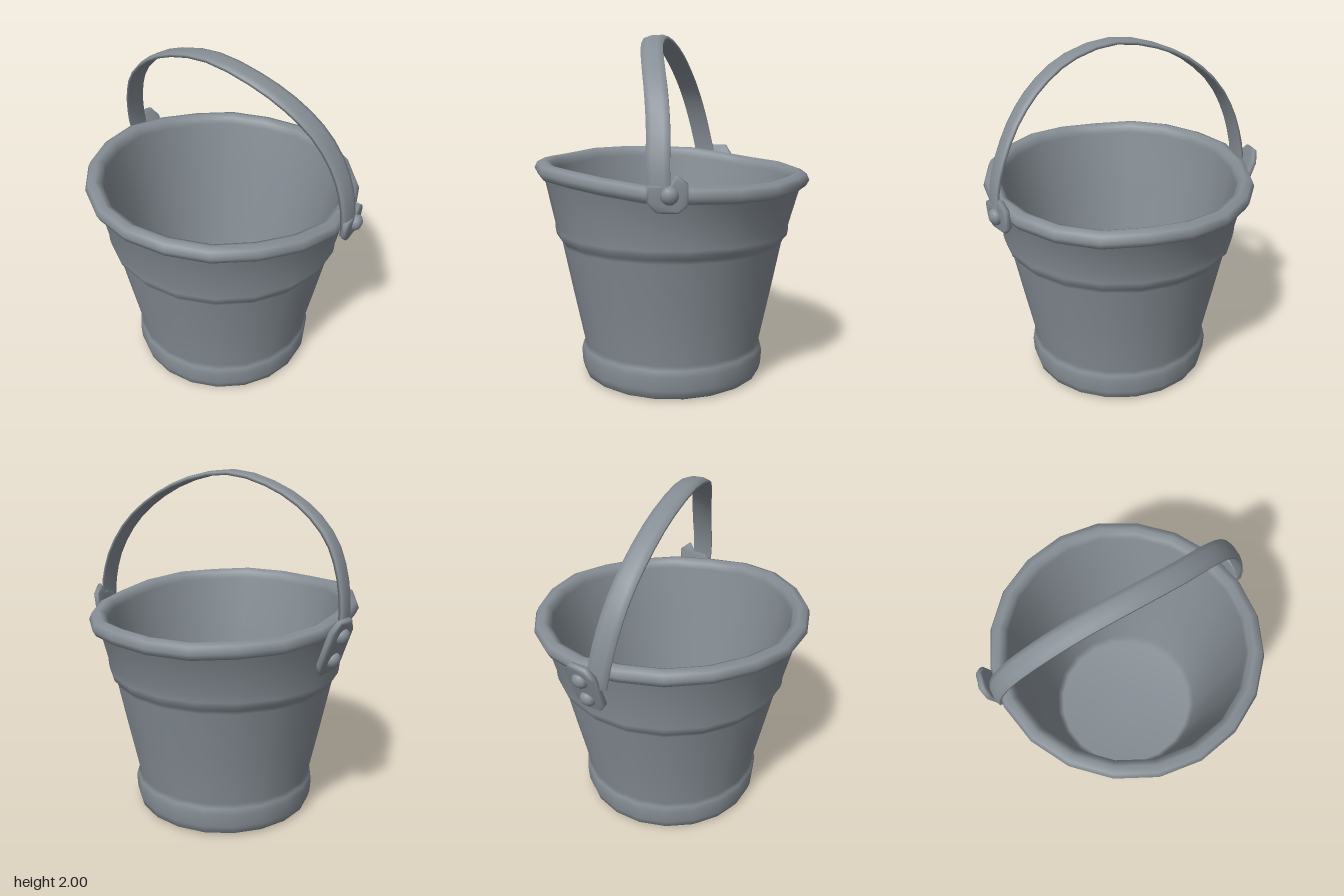
import * as THREE from 'three';
import { mergeVertices } from 'three/addons/utils/BufferGeometryUtils.js';

const metal = new THREE.MeshStandardMaterial({ color: 0x868e95 });
metal.name = 'grey metal';

function addMesh(parent, geometry, name) {
  const mesh = new THREE.Mesh(geometry, metal);
  mesh.name = name;
  parent.add(mesh);
  return mesh;
}

// Weld seams and rebuild smooth normals
function smooth(geometry) {
  geometry.deleteAttribute('uv');
  geometry.deleteAttribute('normal');
  const g = mergeVertices(geometry, 1e-4);
  g.computeVertexNormals();
  return g;
}

// Bucket: closed lathe profile, with a tilted and dented rim
function bucketGeometry() {
  const profile = [
    [0, 0.03], [0.46, 0.03], [0.48, 0.005], [0.505, 0], [0.53, 0.015], [0.543, 0.06],
    [0.548, 0.14], [0.54, 0.175], [0.528, 0.2], [0.59, 0.5], [0.65, 0.8], [0.66, 0.825],
    [0.682, 0.85], [0.688, 0.88], [0.69, 0.92], [0.75, 1.16], [0.785, 1.175],
    [0.803, 1.21], [0.787, 1.245], [0.745, 1.257], [0.71, 1.24], [0.7, 1.2],
    [0.635, 0.9], [0.56, 0.5], [0.485, 0.09], [0.45, 0.05], [0, 0.045],
  ].map(([r, y]) => new THREE.Vector2(r, y));
  const g = new THREE.LatheGeometry(profile, 20, 0.03);
  const p = g.attributes.position;
  for (let i = 0; i < p.count; i++) {
    const x = p.getX(i), y = p.getY(i), z = p.getZ(i);
    const w = THREE.MathUtils.smoothstep(y, 0.9, 1.2);
    const a = Math.atan2(z, x);
    p.setY(i, y + w * (-0.05 * x - 0.025 * z + 0.01 * Math.sin(3 * a + 1) + 0.005 * Math.sin(7 * a)));
    p.setZ(i, z * (1 - 0.03 * w));
  }
  return smooth(g);
}

// Handle: flat strip with a domed outer face swept along an arch
function handleGeometry() {
  const curve = new THREE.CatmullRomCurve3([
    [0.11, 1.15, 0.795], [0.1, 1.32, 0.785], [0.09, 1.5, 0.73], [0.055, 1.68, 0.625],
    [0.005, 1.82, 0.48], [-0.05, 1.93, 0.28], [-0.08, 1.985, 0],
    [-0.07, 1.93, -0.28], [-0.05, 1.82, -0.5], [-0.02, 1.67, -0.66],
    [0.015, 1.5, -0.745], [0.05, 1.32, -0.785], [0.08, 1.17, -0.79],
  ].map((v) => new THREE.Vector3(...v)));
  const section = [[-0.06, -0.012], [-0.06, 0.004], [-0.03, 0.014], [0.03, 0.014], [0.06, 0.004], [0.06, -0.012]];
  const n = section.length, steps = 26, pos = [], index = [];
  for (let i = 0; i <= steps; i++) {
    const c = curve.getPoint(i / steps), t = curve.getTangent(i / steps);
    const side = new THREE.Vector3(1, 0, 0).addScaledVector(t, -t.x).normalize();
    const out = new THREE.Vector3().crossVectors(side, t).normalize();
    if (out.dot(new THREE.Vector3(0, c.y - 1.2, c.z)) < 0) out.negate();
    for (const [s, o] of section) {
      const v = c.clone().addScaledVector(side, s).addScaledVector(out, o);
      pos.push(v.x, v.y, v.z);
    }
    if (i === steps) break;
    for (let j = 0; j < n; j++) {
      const a = i * n + j, b = i * n + (j + 1) % n;
      index.push(a, b, a + n, b, b + n, a + n);
    }
  }
  // End caps
  const e = steps * n;
  for (let j = 1; j < n - 1; j++) index.push(0, j + 1, j, e, e + j, e + j + 1);
  const g = new THREE.BufferGeometry();
  g.setAttribute('position', new THREE.Float32BufferAttribute(pos, 3));
  g.setIndex(index);
  g.computeVertexNormals();
  return g;
}

// Bracket: bevelled plate with domed rivets, facing outwards
function addBracket(parent, name, outline, position, tilt, rivets) {
  const bracket = new THREE.Group();
  bracket.name = name;
  const shape = new THREE.Shape(outline.map(([x, y]) => new THREE.Vector2(x, y)));
  const plate = new THREE.ExtrudeGeometry(shape, {
    depth: 0.02, bevelEnabled: true, bevelThickness: 0.01, bevelSize: 0.012, bevelSegments: 1,
  });
  plate.translate(0, 0, -0.01);
  addMesh(bracket, smooth(plate), name + 'Plate');
  for (const [x, y, z] of rivets) {
    const rivet = addMesh(bracket, new THREE.SphereGeometry(0.046, 10, 8), name + 'Rivet');
    rivet.position.set(x, y, z);
    rivet.scale.z = 0.75;
  }
  bracket.position.set(...position);
  bracket.rotation.order = 'YXZ';
  bracket.rotation.y = Math.atan2(position[0], position[2]);
  bracket.rotation.x = tilt;
  parent.add(bracket);
}

export function createModel() {
  const model = new THREE.Group();
  model.name = 'bucket';
  addMesh(model, bucketGeometry(), 'bucketBody');
  addMesh(model, handleGeometry(), 'handle');

  // Short front bracket with a bent upper corner and an inner rivet
  addBracket(model, 'frontBracket',
    [[-0.09, -0.04], [-0.05, -0.085], [0.05, -0.085], [0.09, -0.05], [0.09, 0.045], [0.045, 0.08], [0.02, 0.03], [-0.09, 0.03]],
    [0.15, 1.195, 0.785], 0.1, [[0.01, -0.005, 0.025], [0, -0.03, -0.085]]);

  // Long back bracket with two rivets
  addBracket(model, 'backBracket',
    [[-0.085, -0.1], [-0.045, -0.155], [0.045, -0.155], [0.085, -0.1], [0.085, 0.1], [0.045, 0.155], [-0.045, 0.155], [-0.085, 0.1]],
    [0.145, 1.14, -0.775], 0.34, [[0, 0.075, 0.022], [0, -0.075, 0.022]]);
  return model;
}
